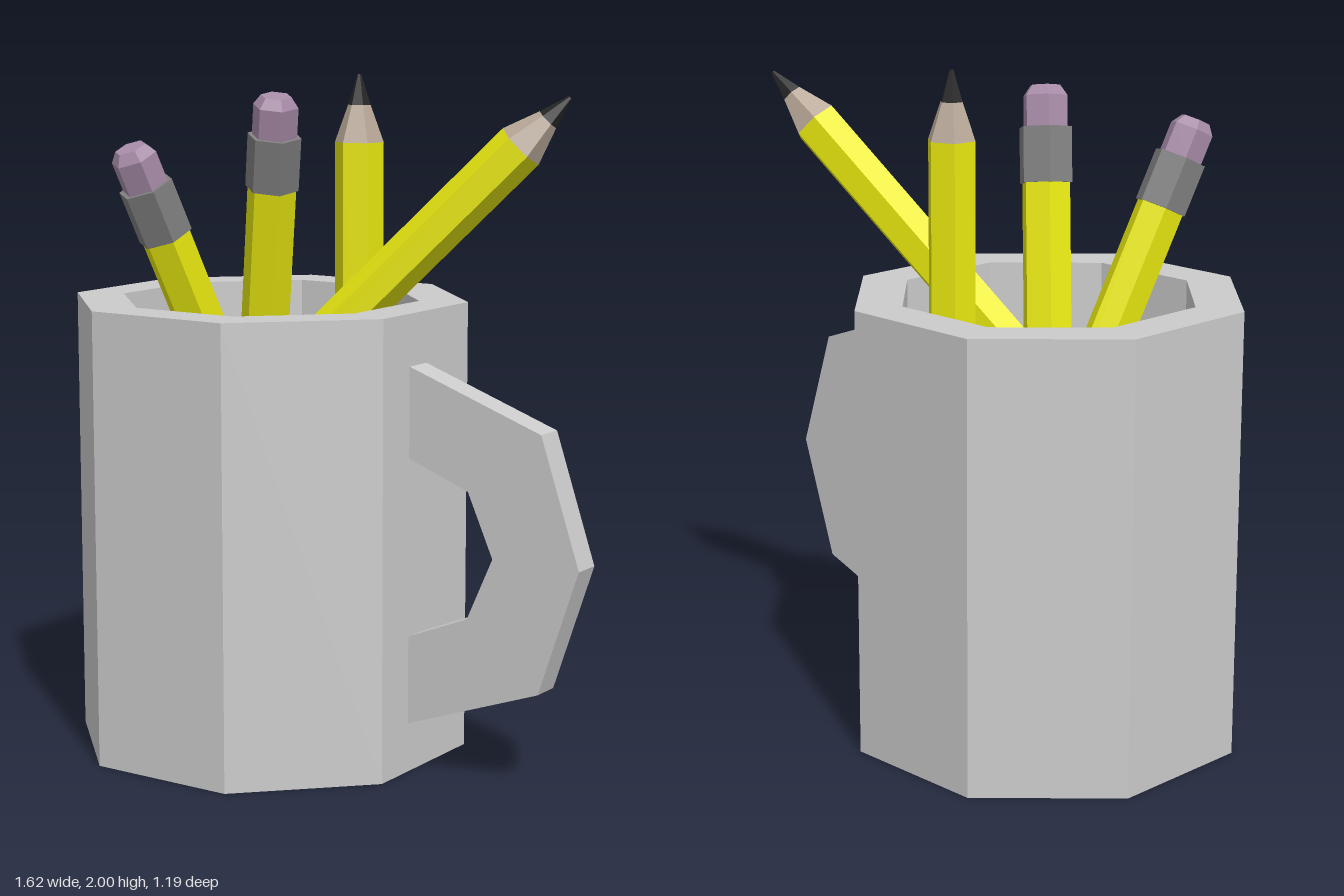
import * as THREE from 'three';

const mat = (color) => new THREE.MeshStandardMaterial({ color, flatShading: true });
const grey = mat(0xcccccc), yellow = mat(0xe8e810), wood = mat(0xb8a898);
const lead = mat(0x262626), metal = mat(0x808080), rubber = mat(0xa88ca8);

// Faceted solid of revolution; profile pairs run [radius, height] up the outside
function turned(name, profile, sides, material) {
  const points = profile.map(([r, y]) => new THREE.Vector2(r, y));
  const mesh = new THREE.Mesh(new THREE.LatheGeometry(points, sides, Math.PI / 2), material);
  mesh.name = name;
  return mesh;
}

const LENGTH = 1.82, R = 0.074;

// Hexagonal pencil reaching from the end of its eraser towards its tip
function pencil(name, eraserEnd, tipEnd) {
  const g = new THREE.Group();
  g.name = name;
  const L = LENGTH;
  g.add(
    turned('eraser', [[0, 0], [0.046, 0], [0.068, 0.03], [0.068, 0.13]], 6, rubber),
    turned('ferrule', [[0.06, 0.12], [0.081, 0.12], [0.081, 0.28], [0.06, 0.28]], 6, metal),
    turned('pencilBody', [[R, 0.27], [R, L - 0.2]], 6, yellow),
    turned('sharpenedWood', [[R, L - 0.2], [0.034, L - 0.09]], 6, wood),
    turned('leadPoint', [[0.034, L - 0.09], [0.006, L], [0, L]], 6, lead),
  );
  const from = new THREE.Vector3(...eraserEnd);
  const axis = new THREE.Vector3(...tipEnd).sub(from).normalize();
  // Roll upside-down pencils with a plain tilt so their flats stay aligned
  if (axis.y < 0) {
    const flip = new THREE.Quaternion().setFromAxisAngle(new THREE.Vector3(1, 0, 0), Math.PI);
    g.quaternion.setFromUnitVectors(new THREE.Vector3(0, -1, 0), axis).multiply(flip);
  } else {
    g.quaternion.setFromUnitVectors(new THREE.Vector3(0, 1, 0), axis);
  }
  g.position.copy(from);
  return g;
}

export function createModel() {
  const model = new THREE.Group();
  model.name = 'pencilMug';

  // Eight-sided cup with a recessed underside
  const mug = new THREE.Group();
  mug.name = 'mug';
  mug.position.x = -0.215;
  mug.add(turned('cup', [
    [0, 0.04], [0.545, 0.04], [0.596, 0], [0.596, 1.345],
    [0.451, 1.345], [0.451, 0.14], [0, 0.14],
  ], 8, grey));

  // Angular handle standing out from one flat of the cup
  const outline = [
    [0.548, 1.195], [0.548, 0.93], [0.746, 0.855], [0.828, 0.67], [0.746, 0.485],
    [0.548, 0.405], [0.548, 0.145], [0.979, 0.3], [1.103, 0.67], [0.979, 1.04],
  ];
  const shape = new THREE.Shape(outline.map(([x, y]) => new THREE.Vector2(x, y)));
  const handle = new THREE.Mesh(
    new THREE.ExtrudeGeometry(shape, { depth: 0.09, bevelEnabled: false }), grey);
  handle.name = 'handle';
  handle.rotation.y = -Math.PI / 8;
  mug.add(handle);
  model.add(mug);

  // Two pencils point up, two point down
  model.add(
    pencil('uprightPencil', [0.03, 0.18, -0.135], [0.03, 2, -0.135]),
    pencil('leaningPencil', [-0.615, 0.655, 0], [0.67, 1.94, 0]),
    pencil('frontPencil', [-0.515, 1.81, 0.425], [-0.03, 0.15, -0.18]),
    pencil('middlePencil', [-0.178, 1.942, 0.06], [-0.365, 0.17, -0.33]),
  );
  return model;
}
